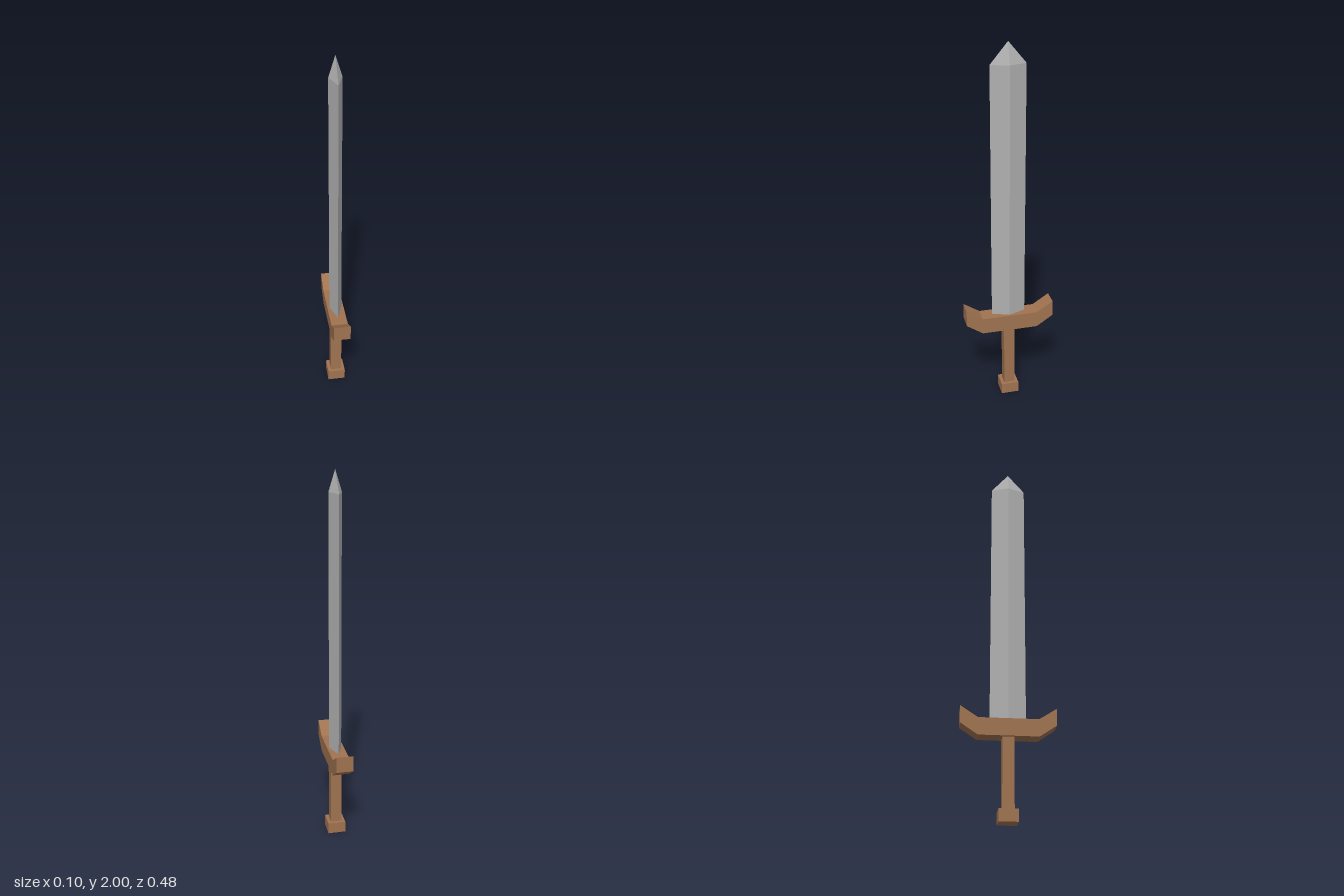
import * as THREE from 'three';

export function createModel() {
  const sword = new THREE.Group();
  sword.name = 'sword';

  const wood = new THREE.MeshStandardMaterial({ color: 0xa07350, flatShading: true });
  wood.name = 'brown wood';
  const steel = new THREE.MeshStandardMaterial({ color: 0xb0b0b0, flatShading: true });
  steel.name = 'grey steel';

  const add = (name, geometry, material, y = 0, parent = sword) => {
    const mesh = new THREE.Mesh(geometry, material);
    mesh.name = name;
    mesh.position.y = y;
    parent.add(mesh);
    return mesh;
  };

  // Pommel and square grip
  add('pommel', new THREE.BoxGeometry(0.097, 0.062, 0.097), wood, 0.031);
  add('grip', new THREE.BoxGeometry(0.06, 0.36, 0.06), wood, 0.242);

  // Crossguard: a bent bar with upswept ends, extruded across x
  const profile = [
    [-0.242, 0.48], [-0.153, 0.42], [0.153, 0.42], [0.242, 0.48],
    [0.242, 0.568], [0.153, 0.51], [-0.153, 0.51], [-0.242, 0.568],
  ];
  const guardShape = new THREE.Shape(profile.map(([z, y]) => new THREE.Vector2(z, y)));
  const guardWidth = 0.091;
  const guardGeometry = new THREE.ExtrudeGeometry(guardShape, { depth: guardWidth, bevelEnabled: false });
  guardGeometry.translate(0, 0, -guardWidth / 2).rotateY(-Math.PI / 2);
  add('crossguard', guardGeometry, wood);

  // Blade: diamond cross-section with a four-sided point
  const blade = new THREE.Group();
  blade.name = 'blade';
  sword.add(blade);
  const halfThickness = 0.034, halfWidth = 0.092;
  const base = 0.5, shoulder = 1.89, tip = 2;
  const body = new THREE.CylinderGeometry(1, 1, shoulder - base, 4, 1, true);
  const point = new THREE.ConeGeometry(1, tip - shoulder, 4, 1, true);
  for (const g of [body, point]) g.scale(halfThickness, 1, halfWidth);
  add('bladeBody', body, steel, (base + shoulder) / 2, blade);
  add('bladePoint', point, steel, (shoulder + tip) / 2, blade);

  return sword;
}
